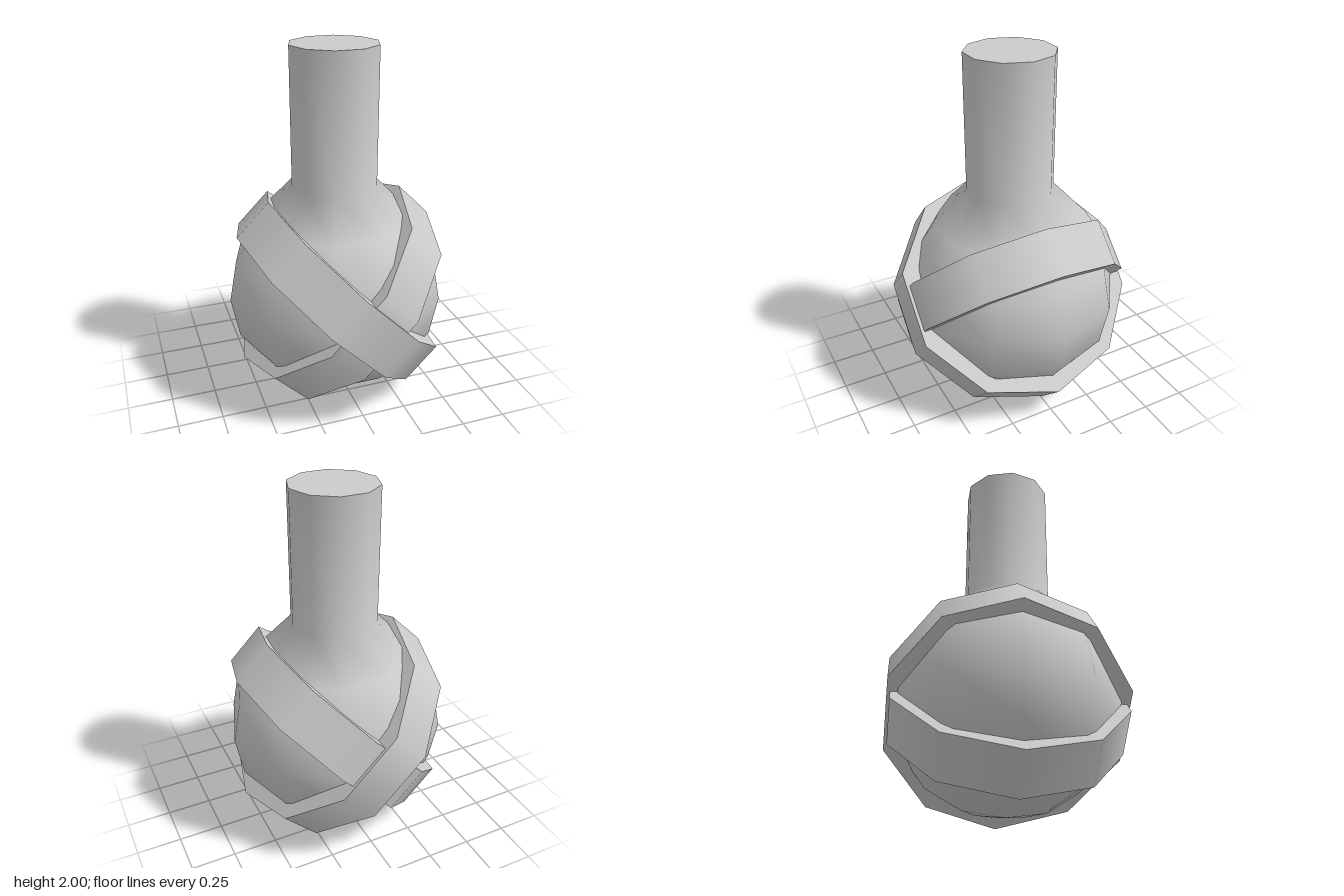
import * as THREE from 'three';

const SIDES = 10;
const material = new THREE.MeshStandardMaterial({ color: 0xcccccc });

function addMesh(parent, name, geometry) {
  const mesh = new THREE.Mesh(geometry, material);
  mesh.name = name;
  parent.add(mesh);
  return mesh;
}

export function createModel() {
  const group = new THREE.Group();
  group.name = 'roundFlask';

  // Round body running up through the shoulder into the straight neck
  const profile = [
    [0, 0.005], [0.237, 0.048], [0.438, 0.17], [0.577, 0.355], [0.622, 0.595],
    [0.577, 0.835], [0.438, 1.04], [0.245, 1.24], [0.245, 2],
  ].map(([r, y]) => new THREE.Vector2(r, y));
  addMesh(group, 'bodyAndNeck', new THREE.LatheGeometry(profile, SIDES, Math.PI / 2));

  // Flat top closing the neck
  const top = addMesh(group, 'neckTop', new THREE.CircleGeometry(0.245, SIDES));
  top.rotation.x = -Math.PI / 2;
  top.position.y = 2;

  // Two crossed bands around the body; the second sits slightly lower at the crossings
  const bands = [['outerBand', -1, 1], ['innerBand', 1, 0.973]];
  for (const [name, tilt, depth] of bands) {
    const geometry = new THREE.CylinderGeometry(0.68, 0.68, 0.262, SIDES, 1, false, Math.PI / 2);
    geometry.scale(1, 1, depth);
    const band = addMesh(group, name, geometry);
    band.rotation.z = tilt * Math.PI / 4;
    band.position.set(0.008, 0.59, 0);
  }

  return group;
}
